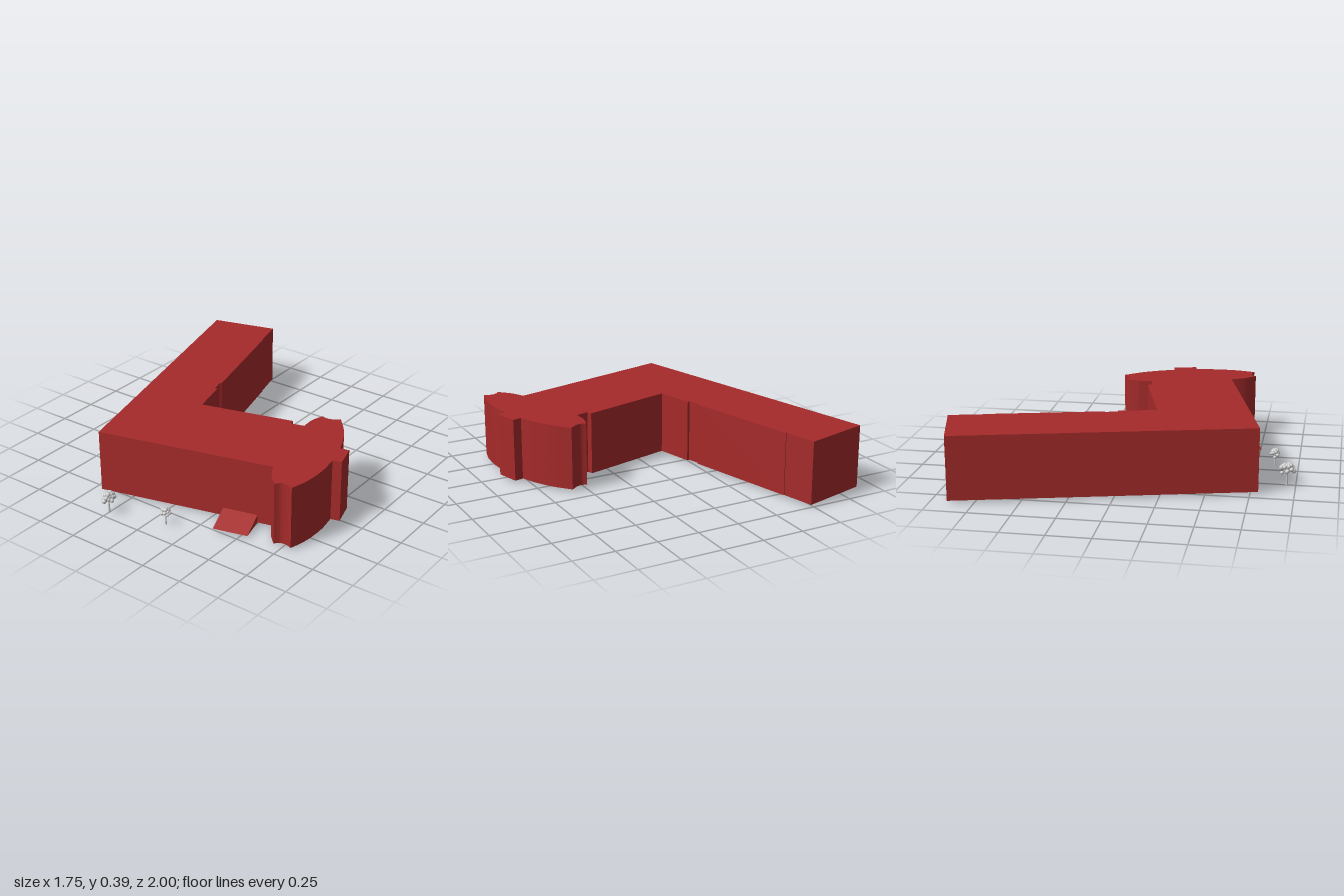
import * as THREE from 'three';

const grey = new THREE.MeshStandardMaterial({ color: 0xcccccc });
const red = new THREE.MeshStandardMaterial({ color: 0xa52a2a });

function add(parent, name, geometry, material) {
  const mesh = new THREE.Mesh(geometry, material);
  mesh.name = name;
  parent.add(mesh);
  return mesh;
}

// plan coordinates are x, z; the shape plane stores z negated
function curveThrough(shape, points) {
  shape.splineThru(points.map(([x, z]) => new THREE.Vector2(x, -z)));
}
function linesThrough(shape, points) {
  points.forEach(([x, z]) => shape.lineTo(x, -z));
}

// Slender cylinder between two points
function branch(parent, name, a, b, r0, r1) {
  const dir = b.clone().sub(a);
  const mesh = add(parent, name, new THREE.CylinderGeometry(r1, r0, dir.length(), 7), grey);
  mesh.position.copy(a).add(b).multiplyScalar(0.5);
  mesh.quaternion.setFromUnitVectors(new THREE.Vector3(0, 1, 0), dir.normalize());
}

// Trunk, forking branches and a crown of small leaf clumps
function makeTree(name, x, z, height, rx, rz, count) {
  const tree = new THREE.Group();
  tree.name = name;
  tree.position.set(x, 0, z);
  const ball = height * 0.095;
  const fork = new THREE.Vector3(0, height * 0.48, 0);
  branch(tree, 'trunk', new THREE.Vector3(), fork, height * 0.05, height * 0.03);
  for (let i = 0; i < count; i++) {
    const t = (i + 0.5) / count;
    const r = Math.sqrt(t);
    const a = i * 2.4;
    const p = new THREE.Vector3(
      Math.cos(a) * r * (rx - ball),
      height - ball - height * (0.27 * t * t + 0.05 * (i % 3) * t),
      Math.sin(a) * r * (rz - ball));
    const clump = add(tree, 'leafClump', new THREE.IcosahedronGeometry(ball * (0.85 + 0.1 * (i % 4)), 2), grey);
    clump.position.copy(p);
    if (i % 3 === 0) branch(tree, 'branch', fork, p, height * 0.025, height * 0.012);
  }
  return tree;
}

export function createModel() {
  const model = new THREE.Group();
  const base = 0.015, top = 0.392;

  // Building footprint: long wing, cross wing and curved end
  const plan = new THREE.Shape();
  plan.moveTo(-0.44, -0.797);
  linesThrough(plan, [[-0.877, 0.897], [-0.482, 1.0], [-0.433, 0.805], [-0.429, 0.806]].map(([x, z]) => [x, -z]));
  linesThrough(plan, [[-0.256, -0.128], [-0.265, -0.115], [-0.245, -0.044], [-0.23, -0.048],
    [-0.175, 0.175], [0.38, 0.032], [0.39, 0.064], [0.466, 0.044]]);
  curveThrough(plan, [[0.464, -0.04], [0.486, -0.12]]);
  curveThrough(plan, [[0.515, -0.11], [0.55, -0.118], [0.593, -0.15]]);
  curveThrough(plan, [[0.68, -0.045], [0.74, 0.06], [0.777, 0.15]]);
  linesThrough(plan, [[0.83, 0.138], [0.869, 0.277], [0.817, 0.291]]);
  curveThrough(plan, [[0.835, 0.42], [0.829, 0.56], [0.803, 0.667]]);
  curveThrough(plan, [[0.766, 0.655], [0.73, 0.66], [0.702, 0.685]]);
  curveThrough(plan, [[0.64, 0.62], [0.595, 0.54]]);
  plan.closePath();
  const walls = new THREE.ExtrudeGeometry(plan, { depth: top - base, bevelEnabled: false, curveSegments: 4 });
  walls.rotateX(-Math.PI / 2).translate(0, base, 0);
  add(model, 'building', walls, red);

  // Wedge ramp against the front wall
  const profile = new THREE.Shape();
  profile.moveTo(-0.01, 0);
  profile.lineTo(0.156, 0);
  profile.lineTo(0, 0.05);
  profile.lineTo(-0.01, 0.05);
  profile.closePath();
  const wedge = new THREE.ExtrudeGeometry(profile, { depth: 0.207, bevelEnabled: false });
  wedge.rotateY(-Math.PI / 2).translate(0.207, 0, 0); // profile now runs along z, width along x
  const ramp = add(model, 'entranceRamp', wedge, red);
  ramp.rotation.y = 0.25;
  ramp.position.set(0.306, base, 0.609);

  // Trees in front
  model.add(makeTree('largeTree', -0.25, 0.948, 0.137, 0.042, 0.052, 22));
  model.add(makeTree('smallTree', 0.09, 0.857, 0.11, 0.04, 0.032, 18));
  return model;
}
